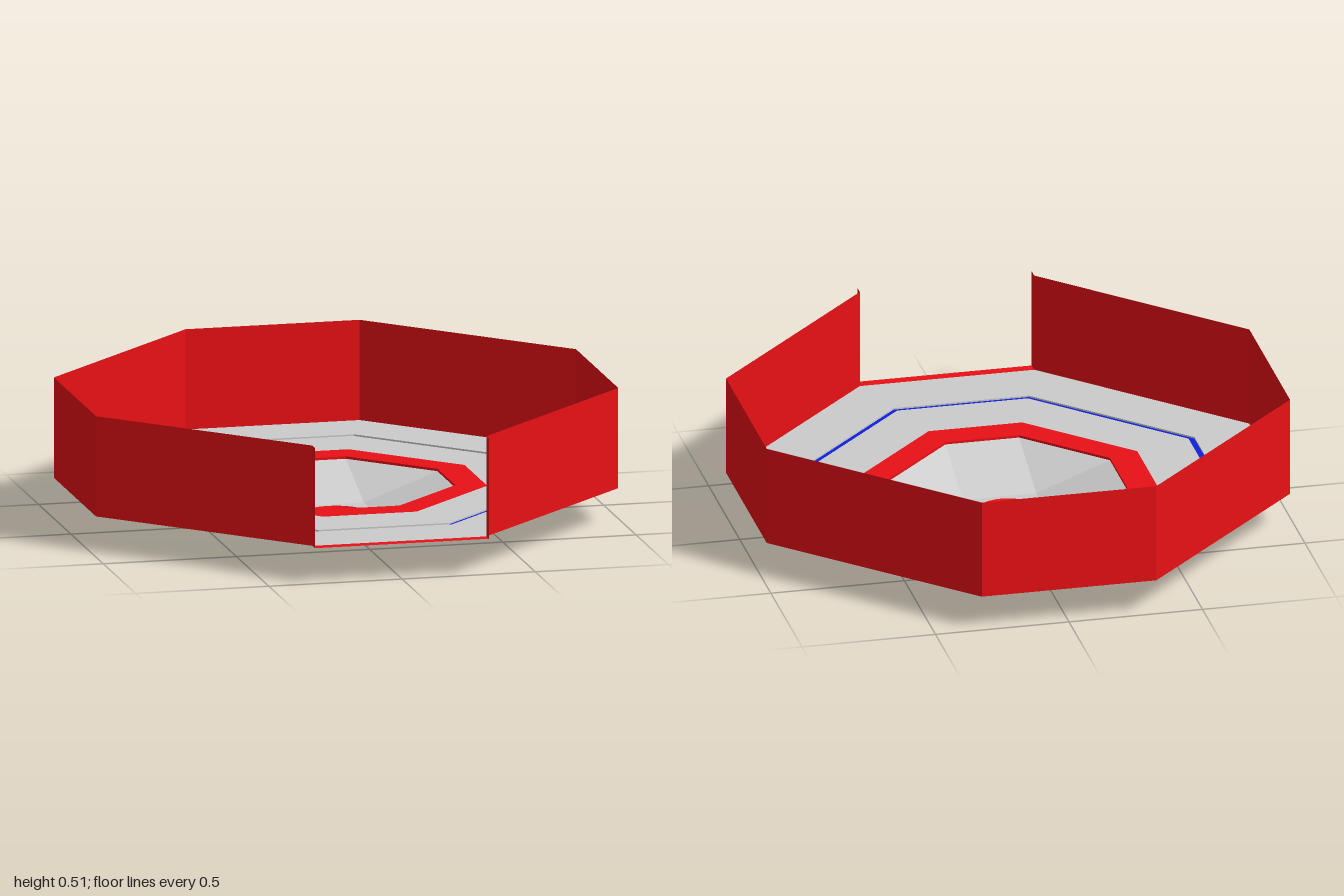
import * as THREE from 'three';

const RED = 0xe81015, BLUE = 0x1020dd, GREY = 0xcccccc;
const FLOOR = 0.133, TOP = 0.508, CENTRE_Z = -0.02;

const material = (color, flatShading = true) =>
  new THREE.MeshStandardMaterial({ color, flatShading, side: THREE.DoubleSide });

// Octagon with its sides at distance a and axis-aligned sides 2h long,
// starting at the front left corner
const octagon = (a, h = a / 3) => [
  [h, a], [a, h], [a, -h], [h, -a], [-h, -a], [-a, -h], [-a, h], [-h, a],
].map(([x, z]) => new THREE.Vector2(x, z));

export function createModel() {
  const model = new THREE.Group();
  const arena = new THREE.Group();
  arena.name = 'arena';
  arena.position.z = CENTRE_Z;
  model.add(arena);

  const add = (name, geometry, color, flat = true) => {
    const mesh = new THREE.Mesh(geometry, material(color, flat));
    mesh.name = name;
    arena.add(mesh);
    return mesh;
  };

  // Horizontal plate with an optional hole, facing up
  const plate = (name, outline, hole, y, color) => {
    const shape = new THREE.Shape(outline);
    if (hole) shape.holes.push(new THREE.Path(hole));
    const geometry = new THREE.ShapeGeometry(shape).rotateX(-Math.PI / 2).translate(0, y, 0);
    return add(name, geometry, color);
  };

  // Band of faces joining an upper outline to a lower one
  const band = (name, upper, yUpper, lower, yLower, color, closed = true) => {
    const pos = [];
    const put = (p, y) => pos.push(p.x, y, p.y);
    const n = upper.length;
    for (let i = 0; i < (closed ? n : n - 1); i++) {
      const j = (i + 1) % n;
      put(upper[i], yUpper); put(lower[i], yLower); put(upper[j], yUpper);
      if (lower[i].equals(lower[j])) continue;
      put(upper[j], yUpper); put(lower[i], yLower); put(lower[j], yLower);
    }
    const geometry = new THREE.BufferGeometry();
    geometry.setAttribute('position', new THREE.Float32BufferAttribute(pos, 3));
    geometry.computeVertexNormals();
    return add(name, geometry, color);
  };

  const outer = octagon(0.98), grooveOut = octagon(0.757), grooveIn = octagon(0.733);
  const ringOut = octagon(0.525), ringIn = octagon(0.414);

  // Floor with a shallow blue groove
  const grooveY = FLOOR - 0.006;
  plate('outerFloor', outer, grooveOut, FLOOR, GREY);
  plate('innerFloor', grooveIn, ringOut, FLOOR, GREY);
  plate('grooveLine', grooveOut, grooveIn, grooveY, BLUE);
  band('grooveOuterSide', grooveOut, FLOOR, grooveOut, grooveY, GREY);
  band('grooveInnerSide', grooveIn, FLOOR, grooveIn, grooveY, GREY);

  // Red rim with a small lip down to the pit
  const lipY = FLOOR - 0.009;
  plate('pitRim', ringOut, ringIn, FLOOR, RED);
  band('pitLip', ringIn, FLOOR, ringIn, lipY, RED);

  // Sloping pit that narrows from an octagon to a square
  const pitY = 0.021, square = 0.138;
  band('pitSlope', ringIn, lipY, octagon(square, square), pitY, GREY);
  const circle = new THREE.Path().absarc(0, 0, 0.118, 0, Math.PI * 2).getPoints(16);
  const corners = [[1, 1], [-1, 1], [-1, -1], [1, -1]]
    .map(([x, z]) => new THREE.Vector2(x * square, z * square));
  plate('pitFloor', corners, circle, pitY, GREY);

  // Tapered drain with a blue base
  const drain = new THREE.CylinderGeometry(0.118, 0.1, pitY, 64, 1, true).translate(0, pitY / 2, 0);
  add('drainWall', drain, RED, false);
  add('drainBase', new THREE.CircleGeometry(0.1, 64).rotateX(-Math.PI / 2), BLUE);

  // Seven walls, open at the front, with thin jambs and a threshold
  band('walls', outer, TOP, outer, FLOOR, RED, false);
  const halfDoor = 0.98 / 3, depth = 0.04, zDoor = 0.98 + depth / 2;
  for (const side of [1, -1]) {
    const jamb = new THREE.PlaneGeometry(depth, TOP - FLOOR).rotateY(side * Math.PI / 2);
    jamb.translate(side * halfDoor, (TOP + FLOOR) / 2, zDoor);
    add(side > 0 ? 'leftJamb' : 'rightJamb', jamb, RED);
  }
  const threshold = new THREE.PlaneGeometry(halfDoor * 2, depth).rotateX(-Math.PI / 2);
  add('threshold', threshold.translate(0, FLOOR, zDoor), RED);

  return model;
}
